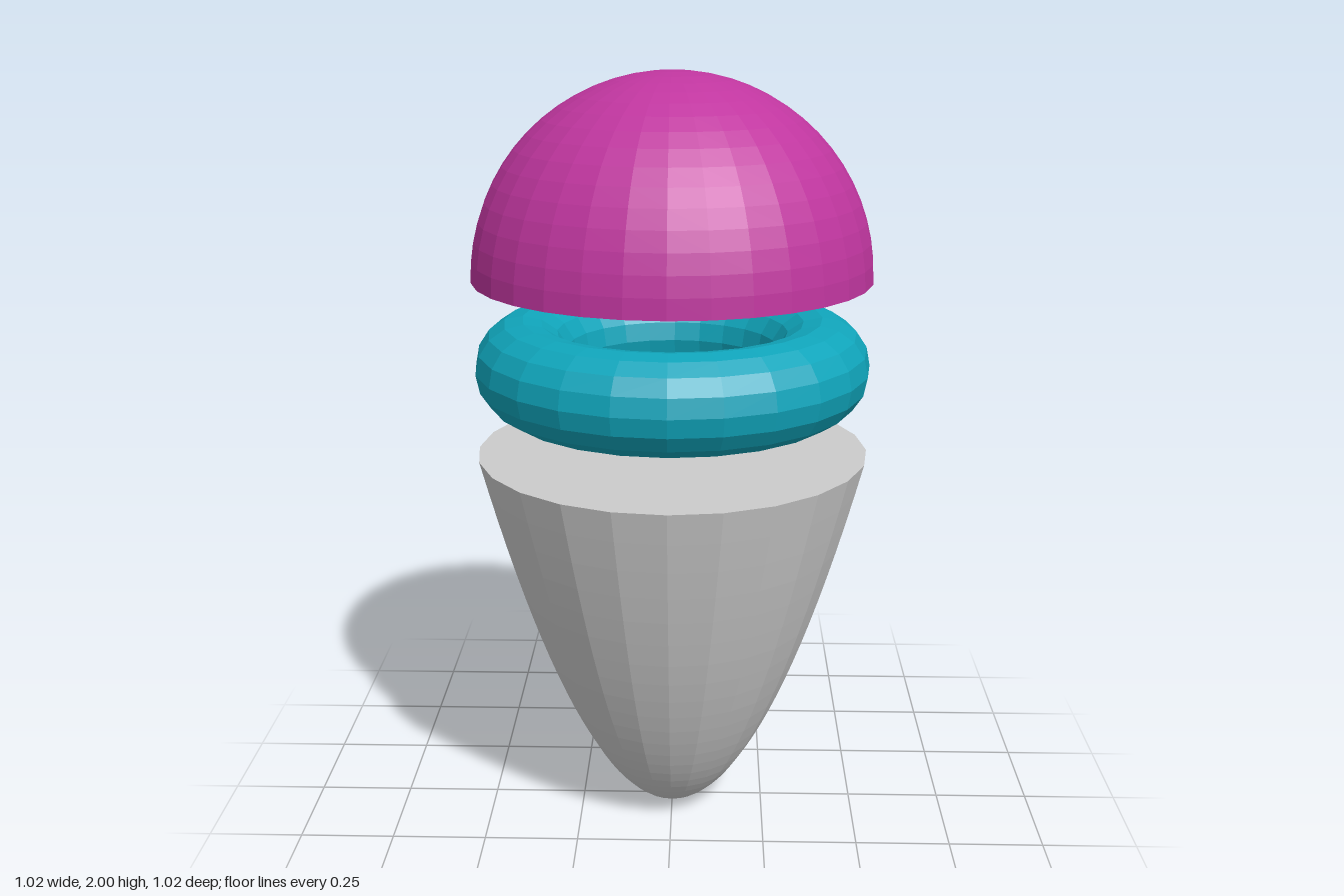
import * as THREE from 'three';

const RADIUS = 0.51;

function part(name, geometry, color, y) {
  const material = new THREE.MeshStandardMaterial({ color, flatShading: true });
  const mesh = new THREE.Mesh(geometry, material);
  mesh.name = name;
  mesh.position.y = y;
  return mesh;
}

// Solid paraboloid standing on its tip, closed by a flat top
function paraboloid(radius, height, steps, sides) {
  const profile = [];
  for (let i = 0; i <= steps; i++) {
    const t = i / steps;
    profile.push(new THREE.Vector2(radius * t, height * t * t));
  }
  profile.push(new THREE.Vector2(0, height));
  return new THREE.LatheGeometry(profile, sides);
}

// Solid half ball, closed by a flat base
function hemisphere(radius, steps, sides) {
  const profile = [new THREE.Vector2(0, 0)];
  for (let i = 0; i <= steps; i++) {
    const a = (i / steps) * Math.PI / 2;
    profile.push(new THREE.Vector2(i === steps ? 0 : radius * Math.cos(a), radius * Math.sin(a)));
  }
  return new THREE.LatheGeometry(profile, sides);
}

export function createModel() {
  const model = new THREE.Group();
  model.name = 'stackedSolids';

  const ring = new THREE.TorusGeometry(RADIUS - 0.125, 0.125, 16, 24).rotateX(Math.PI / 2);

  model.add(
    part('paraboloidBase', paraboloid(RADIUS, 1.03, 24, 24), 0xcccccc, 0),
    part('middleRing', ring, 0x10a5bb, 1.26),
    part('domeTop', hemisphere(RADIUS, 16, 32), 0xc0369f, 1.49),
  );
  return model;
}
